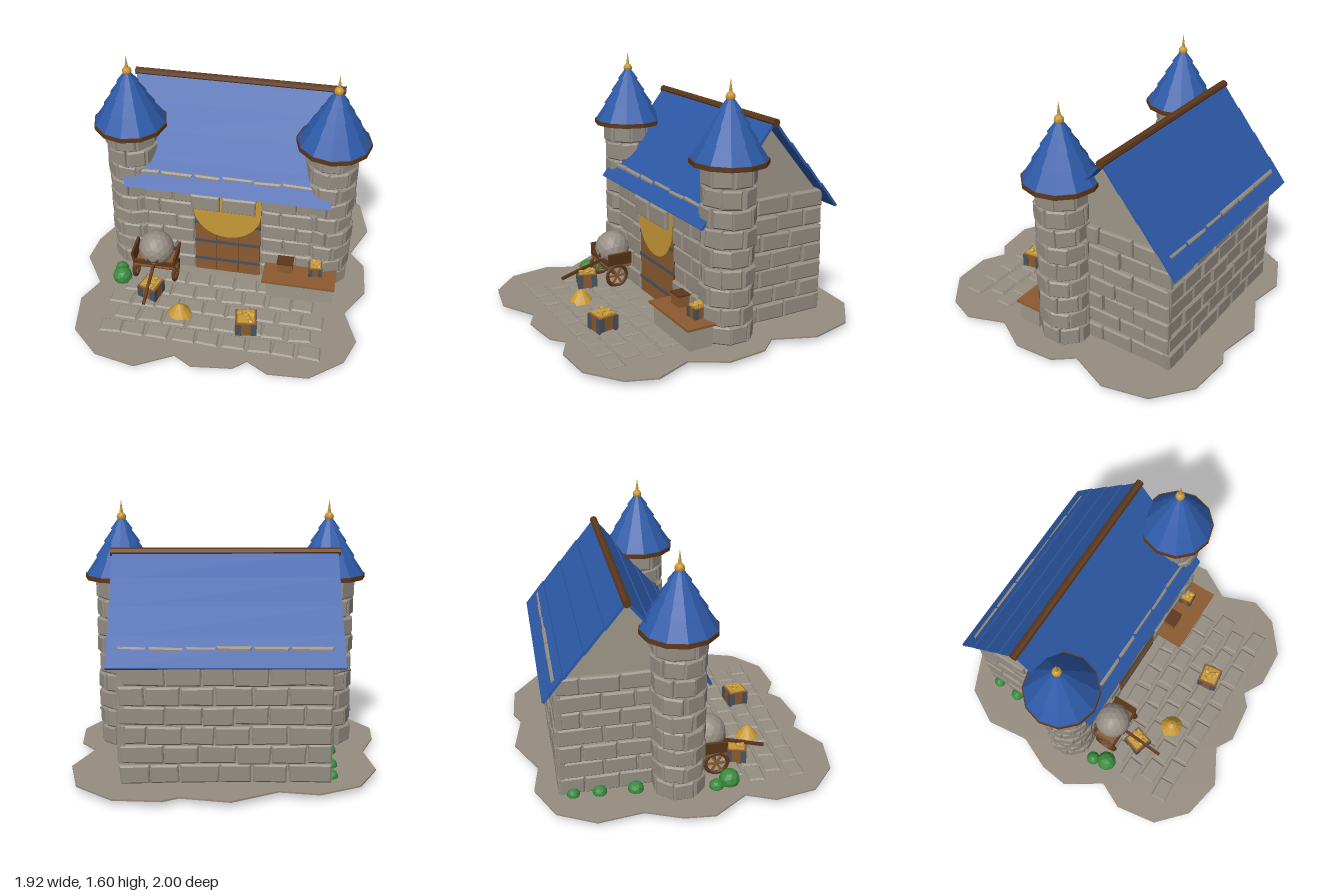
import * as THREE from 'three';
import { mergeGeometries } from 'three/addons/utils/BufferGeometryUtils.js';

const mat = (name, color) => {
  const m = new THREE.MeshStandardMaterial({ color, flatShading: true });
  m.name = name;
  return m;
};

export function createModel() {
  const M = {
    stone: mat('stone', 0x958e83), plaster: mat('plaster', 0x9e9789), ground: mat('ground', 0x968d80),
    blue: mat('roof blue', 0x2d5aa8), darkWood: mat('dark wood', 0x5c371b), wood: mat('wood', 0x8c5a30),
    gold: mat('gold', 0xc89a38), iron: mat('iron', 0x4a525a), leaf: mat('leaf', 0x3a8a3e),
  };
  const root = new THREE.Group();
  let seed = 7;
  const rnd = () => (seed = (seed * 16807) % 2147483647) / 2147483647;
  const jit = (a) => (rnd() - 0.5) * 2 * a;

  const add = (name, geo, material, x = 0, y = 0, z = 0, parent = root) => {
    const m = new THREE.Mesh(geo, material);
    m.name = name;
    m.position.set(x, y, z);
    parent.add(m);
    return m;
  };
  const group = (name, x, y, z, ry = 0) => {
    const g = new THREE.Group();
    g.name = name;
    g.position.set(x, y, z);
    g.rotation.y = ry;
    root.add(g);
    return g;
  };
  const box = (w, h, d) => new THREE.BoxGeometry(w, h, d);
  const poly = (pts) => new THREE.Shape(pts.map(([x, y]) => new THREE.Vector2(x, y)));

  // chamfered block with uneven corners, back face on z = 0
  const block = (w, h, d, j = 0.005) => {
    const a = w / 2, b = h / 2;
    const s = poly([[-a, -b], [a, -b], [a, b], [-a, b]].map(([x, y]) => [x + jit(j), y + jit(j)]));
    const t = 0.01;
    return new THREE.ExtrudeGeometry(s, {
      depth: d - 2 * t, bevelEnabled: true, bevelThickness: t, bevelSize: t, bevelOffset: -t, bevelSegments: 1,
    }).translate(0, 0, t);
  };

  // one course of blocks between a and b
  const ROW = 0.116, BASE = 0.042;
  const course = (list, a, b, row, size = 0.22) => {
    const n = Math.max(1, Math.round((b - a) / size)), cuts = [a];
    const shift = row % 2 ? 0.28 : -0.22;
    for (let i = 1; i < n; i++) cuts.push(a + (b - a) * (i + shift + jit(0.1)) / n);
    cuts.push(b);
    for (let i = 0; i < n; i++) {
      const w = cuts[i + 1] - cuts[i];
      list.push(block(w - 0.008, ROW - 0.006, 0.05 + jit(0.007))
        .translate((cuts[i] + cuts[i + 1]) / 2, BASE + (row + 0.5) * ROW, 0));
    }
  };

  // ground slab with a wavy outline
  const outline = [[-0.01, -1], [0.28, -0.945], [0.37, -0.99], [0.65, -0.97], [0.875, -0.79], [0.945, -0.51],
    [0.84, -0.25], [0.94, -0.13], [0.96, 0.12], [0.84, 0.33], [0.93, 0.56], [0.865, 0.74], [0.665, 0.9],
    [0.415, 0.915], [0.28, 0.84], [0.2, 0.91], [-0.055, 0.94], [-0.17, 0.875], [-0.4, 1], [-0.66, 0.95],
    [-0.845, 0.78], [-0.89, 0.515], [-0.81, 0.345], [-0.96, 0.12], [-0.94, -0.07], [-0.845, -0.29],
    [-0.88, -0.57], [-0.755, -0.8], [-0.51, -0.91], [-0.28, -0.87]];
  add('ground', new THREE.ExtrudeGeometry(poly(outline.map(([x, z]) => [x, -z])), { depth: 0.01, bevelEnabled: false })
    .rotateX(-Math.PI / 2), M.ground, 0, 0.034, 0);

  // paving
  const paving = [];
  for (let r = 0; r < 5; r++) {
    for (let i = 0; i < 9; i++) {
      const x = -0.63 + i * 0.16 + (r % 2 ? 0.08 : 0);
      if (x > 0.7 || (r === 0 && Math.abs(x) > 0.4)) continue;
      paving.push(block(0.145, 0.108, 0.026).rotateX(-Math.PI / 2).rotateY(jit(0.06))
        .translate(x + jit(0.008), 0.03, 0.71 - 0.127 * (4 - r)));
    }
  }
  add('paving', mergeGeometries(paving), M.stone);

  // hall body with gables
  const CX = 0.018, RZ = -0.335;
  const body = poly([[-0.075, 0.036], [0.74, 0.036], [0.74, 0.82], [-RZ, 1.295], [-0.075, 0.82]]);
  add('hallBody', new THREE.ExtrudeGeometry(body, { depth: 1.17, bevelEnabled: false })
    .rotateY(Math.PI / 2), M.plaster, CX - 0.585, 0, 0);

  // masonry of the four walls
  const front = [], back = [], left = [], right = [];
  for (let r = 0; r < 7; r++) {
    if (r < 6) {
      course(front, -0.55, -0.2, r, 0.19);
      course(front, 0.245, 0.59, r, 0.19);
    } else course(front, -0.55, 0.59, r, 0.2);
    course(back, -0.61, 0.61, r, 0.22);
    course(left, -0.425, 0.425, r, 0.215);
    course(right, -0.425, 0.425, r, 0.215);
  }
  add('frontMasonry', mergeGeometries(front), M.stone, 0, 0, 0.045);
  add('backMasonry', mergeGeometries(back), M.stone, CX, 0, -0.715).rotation.y = Math.PI;
  add('leftMasonry', mergeGeometries(left), M.stone, CX + 0.565, 0, RZ).rotation.y = Math.PI / 2;
  add('rightMasonry', mergeGeometries(right), M.stone, CX - 0.565, 0, RZ).rotation.y = -Math.PI / 2;

  // door: planks, iron bands, gilded half disc and lintel blocks
  for (let i = 0; i < 3; i++) add('doorPlank', box(0.143, 0.56, 0.02), M.wood, -0.127 + i * 0.147, 0.325, 0.08);
  add('doorBacking', box(0.44, 0.57, 0.01), M.darkWood, 0.02, 0.325, 0.079);
  for (const y of [0.15, 0.31, 0.47]) add('doorBand', box(0.44, 0.022, 0.008), M.iron, 0.02, y, 0.093);
  const disc = new THREE.Shape();
  disc.moveTo(-0.22, 0.13);
  disc.lineTo(-0.22, -0.02);
  disc.absarc(0, 0, 0.222, Math.PI + 0.09, Math.PI * 2 - 0.09, false);
  disc.lineTo(0.22, 0.13);
  add('doorArch', new THREE.ExtrudeGeometry(disc, { depth: 0.008, bevelEnabled: false, curveSegments: 16 }),
    M.gold, 0.02, 0.59, 0.094);
  for (const [x, w] of [[-0.12, 0.19], [0.1, 0.22]]) add('lintelBlock', block(w, 0.115, 0.07), M.stone, x, 0.655, 0.06);

  // roof slopes built from overlapping courses
  const run = 0.485, drop = 0.565, pitch = Math.atan2(drop, run), slope = Math.hypot(run, drop);
  for (const side of [1, -1]) {
    for (let i = 0; i < 4; i++) {
      const t = (i + 0.5) / 4;
      const g = box(1.33, 0.016, slope / 4 + 0.012).rotateX(0.035).translate(0, 0.002, 0).rotateX(pitch);
      if (side < 0) g.rotateY(Math.PI);
      add('roofCourse', g, M.blue, CX, 1.316 - drop * t, RZ + side * run * t);
    }
  }
  add('ridgeBeam', new THREE.CylinderGeometry(0.025, 0.025, 1.355, 8).rotateZ(Math.PI / 2), M.darkWood, CX, 1.32, RZ);

  // corner towers
  for (const [name, x] of [['rightTower', -0.625], ['leftTower', 0.66]]) {
    const g = group(name, x, 0, -0.038);
    add('towerCore', new THREE.CylinderGeometry(0.143, 0.143, 1.085, 12), M.plaster, 0, 0.578, 0, g);
    const blocks = [];
    for (let r = 0; r < 9; r++) {
      for (let i = 0; i < 8; i++) {
        const a = (i + (r % 2) / 2 + jit(0.06)) * Math.PI / 4;
        blocks.push(block(0.122, 0.113, 0.05 + jit(0.006)).translate(0, BASE + (r + 0.5) * 0.119, 0.109).rotateY(a));
      }
    }
    add('towerMasonry', mergeGeometries(blocks), M.stone, 0, 0, 0, g);
    add('eaveRing', new THREE.CylinderGeometry(0.233, 0.233, 0.028, 12), M.darkWood, 0, 1.129, 0, g);
    const ys = [1.14, 1.25, 1.34, 1.42, 1.485];
    const rad = (y) => 0.222 - (y - 1.14) * 0.57;
    for (let i = 0; i < 4; i++) {
      add('coneCourse', new THREE.CylinderGeometry(rad(ys[i + 1]) - 0.006, rad(ys[i]) + 0.006, ys[i + 1] - ys[i], 12),
        M.blue, 0, (ys[i] + ys[i + 1]) / 2, 0, g);
    }
    add('finialBall', new THREE.SphereGeometry(0.029, 10, 8), M.gold, 0, 1.493, 0, g);
    add('finialSpike', new THREE.ConeGeometry(0.014, 0.1, 8), M.gold, 0, 1.55, 0, g);
  }

  // small heap of nuggets
  const nuggets = (g, y, w) => {
    for (let i = 0; i < 7; i++) {
      const n = add('nugget', new THREE.DodecahedronGeometry(0.018), M.gold, jit(w), y + rnd() * 0.012, jit(w), g);
      n.scale.set(1.2, 0.7, 1);
      n.rotation.y = rnd() * 3;
    }
  };
  // iron-cornered crate filled with gold
  const crate = (name, x, y, z, ry, s, h) => {
    const g = group(name, x, y, z, ry);
    add('crateBox', box(s, h, s), M.wood, 0, h / 2, 0, g);
    for (const sx of [1, -1]) for (const sz of [1, -1]) {
      add('cornerIron', box(s * 0.3, h * 0.96, s * 0.3), M.iron, sx * s * 0.375, h * 0.49, sz * s * 0.375, g);
    }
    add('goldFill', box(s * 0.82, 0.012, s * 0.82), M.gold, 0, h + 0.002, 0, g);
    nuggets(g, h + 0.008, s * 0.34);
  };
  crate('yardCrate', -0.44, 0.04, 0.39, -0.3, 0.125, 0.105);
  crate('yardCrate', 0.23, 0.04, 0.575, 0.15, 0.13, 0.105);
  crate('counterCrate', 0.62, 0.185, 0.14, 0.1, 0.085, 0.07);

  // counter
  add('counterBase', box(0.44, 0.14, 0.15), M.plaster, 0.53, 0.107, 0.19);
  add('counterTop', box(0.48, 0.014, 0.19), M.wood, 0.52, 0.18, 0.19);
  add('counterBox', box(0.1, 0.07, 0.075), M.wood, 0.42, 0.222, 0.14);
  add('counterBoxLid', box(0.108, 0.01, 0.083), M.darkWood, 0.42, 0.26, 0.14);

  // gold heap
  add('goldHeap', new THREE.LatheGeometry([[0.084, 0], [0.066, 0.025], [0.03, 0.07], [0, 0.088]]
    .map(([r, y]) => new THREE.Vector2(r, y)), 12), M.gold, -0.215, 0.042, 0.53);

  // handcart with a boulder
  const cart = group('handcart', -0.445, 0, 0.2);
  add('cartBed', box(0.28, 0.03, 0.17), M.wood, 0, 0.2, 0, cart);
  for (const s of [1, -1]) {
    const side = add('cartSide', box(0.016, 0.09, 0.17), M.darkWood, s * 0.138, 0.245, 0, cart);
    side.rotation.z = -s * 0.15;
    add('cartRail', box(0.28, 0.03, 0.016), M.darkWood, 0, 0.222, s * 0.08, cart);
  }
  add('cartPlate', box(0.075, 0.05, 0.02), M.darkWood, 0, 0.265, 0.09, cart);
  for (const s of [1, -1]) {
    const wheel = new THREE.Group();
    wheel.name = 'wheel';
    wheel.position.set(s * 0.135, 0.13, 0.02);
    wheel.rotation.y = Math.PI / 2;
    cart.add(wheel);
    add('wheelRim', new THREE.TorusGeometry(0.072, 0.013, 6, 14), M.darkWood, 0, 0, 0, wheel);
    for (let i = 0; i < 3; i++) add('wheelSpoke', box(0.14, 0.014, 0.012), M.wood, 0, 0, 0, wheel).rotation.z = i * Math.PI / 3;
  }
  add('cartAxle', new THREE.CylinderGeometry(0.01, 0.01, 0.27, 6).rotateZ(Math.PI / 2), M.darkWood, 0, 0.13, 0.02, cart);
  add('cartHandle', box(0.018, 0.018, 0.35), M.darkWood, 0, 0.175, 0.2, cart).rotation.x = 0.28;
  add('boulder', new THREE.IcosahedronGeometry(0.118, 2), M.stone, 0, 0.283, -0.01, cart);

  // bushes
  for (const [x, z, r] of [[-0.67, 0.28, 0.066], [-0.7, 0.19, 0.046], [-0.61, -0.52, 0.045], [-0.625, -0.3, 0.05],
    [-0.6, -0.68, 0.04], [-0.25, -0.68, 0.04], [0.13, -0.68, 0.04]]) {
    add('bush', new THREE.IcosahedronGeometry(r, 1), M.leaf, x, r < 0.06 ? 0.05 : 0.068, z).rotation.y = x * 9;
  }
  return root;
}
